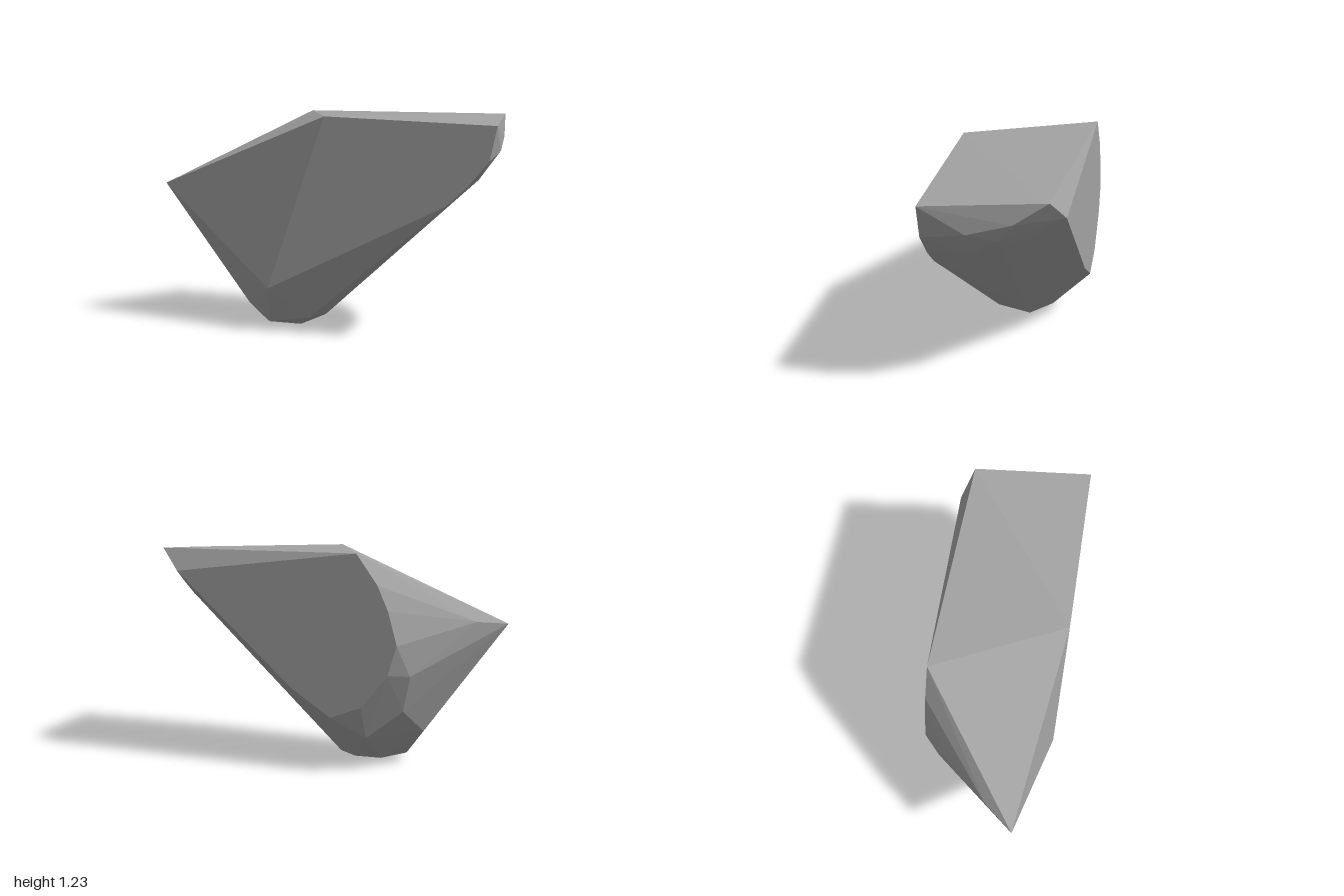
import * as THREE from 'three';
import { ConvexGeometry } from 'three/addons/geometries/ConvexGeometry.js';

export function createModel() {
  const group = new THREE.Group();
  group.name = 'rock';
  const stone = new THREE.MeshStandardMaterial({ color: 0xa3a3a3 });
  stone.name = 'grey stone';

  const at = (z, outline) => outline.map(([x, y]) => [x, y, z]);
  const corners = [
    // flat cut front
    ...at(0.355, [[0.05, 1.225], [1, 1.19], [0.96, 1.005], [0.84, 0.86], [0.73, 0.76], [-0.29, 0.25]]),
    // flat cut back
    ...at(-0.355, [[-0.28, 1.225], [-0.4, 1.057], [-0.46, 0.92], [-0.51, 0.736], [-0.46, 0.572],
      [-0.31, 0.385], [-0.13, 0.315], [0.1, 0.466], [0.8, 1.1]]),
    // pointed side and its chamfers
    [-1, 0.81, 0.2], [-0.86, 0.835, 0.03], [-0.565, 0.56, -0.28], [-0.51, 0.35, -0.22], [-0.57, 0.2, -0.01],
    // blunt upper side
    [0.92, 1.225, -0.29], [0.95, 1.105, -0.11], [0.975, 1.045, 0.12],
    [0.92, 1, -0.03], [0.86, 0.885, 0.13], [0.81, 0.95, -0.13],
    // rounded base
    [-0.46, 0.14, 0.235], [-0.33, 0.03, 0.235], [-0.44, 0.035, 0.1], [-0.18, 0, 0.12],
    [-0.1, 0.06, 0.2], [-0.07, 0.04, 0], [-0.33, 0.03, -0.05], [-0.2, 0.048, -0.12], [-0.31, 0.195, -0.27],
  ];

  const body = new THREE.Mesh(
    new ConvexGeometry(corners.map((c) => new THREE.Vector3(...c))), stone);
  body.name = 'rockBody';
  group.add(body);
  return group;
}
